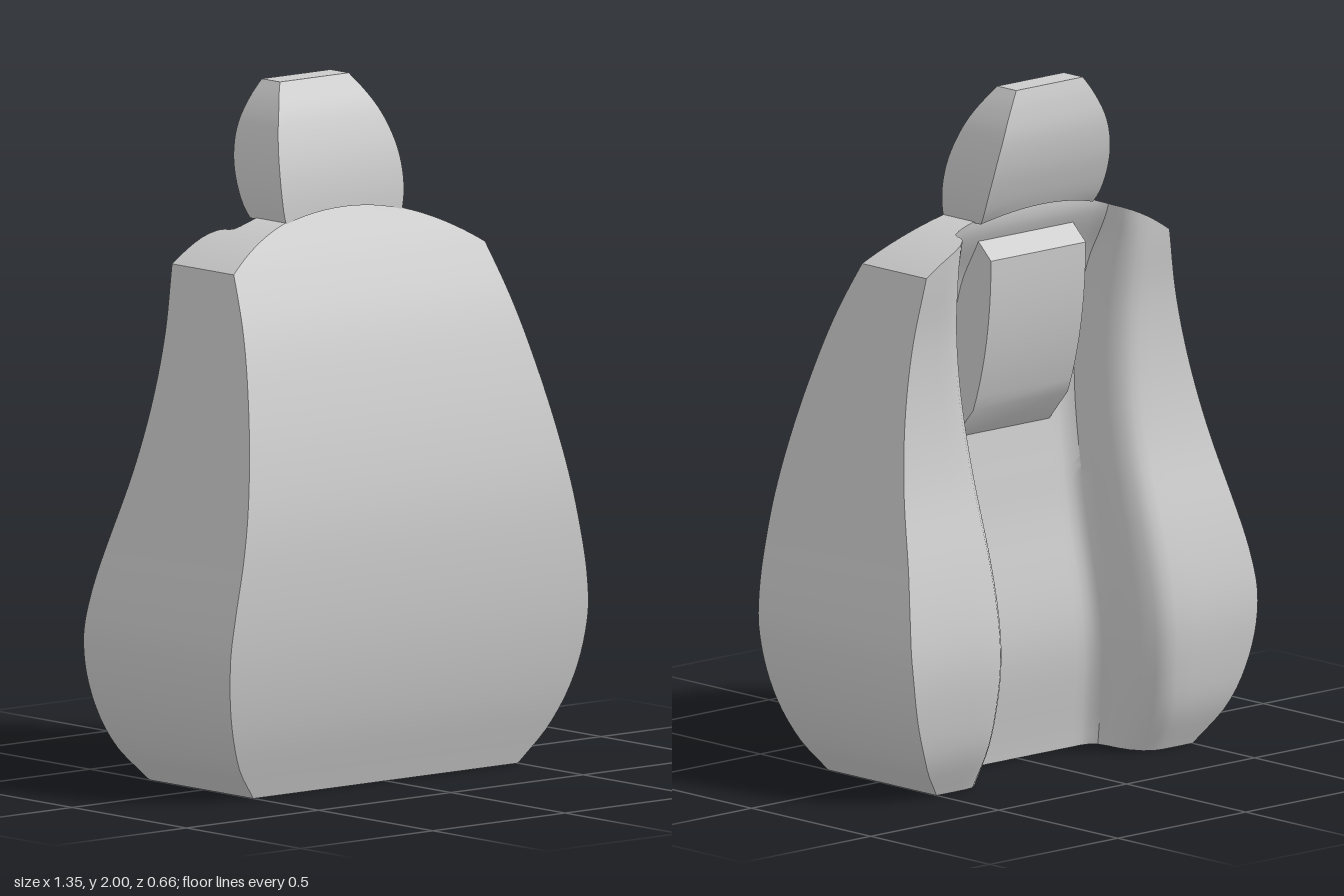
import * as THREE from 'three';
import { toCreasedNormals } from 'three/addons/utils/BufferGeometryUtils.js';

const material = new THREE.MeshStandardMaterial({ color: 0xcccccc });

// Smooth curve through [y, value] points, read as value(y)
function curve(pts) {
  const slope = (i) => {
    const a = pts[Math.max(i - 1, 0)], b = pts[Math.min(i + 1, pts.length - 1)];
    return (b[1] - a[1]) / (b[0] - a[0]);
  };
  return (y) => {
    let i = 0;
    while (i < pts.length - 2 && y > pts[i + 1][0]) i++;
    const [y0, v0] = pts[i], [y1, v1] = pts[i + 1], h = y1 - y0;
    const t = THREE.MathUtils.clamp((y - y0) / h, 0, 1), t2 = t * t, t3 = t2 * t;
    return v0 * (2 * t3 - 3 * t2 + 1) + v1 * (3 * t2 - 2 * t3)
      + h * (slope(i) * (t3 - 2 * t2 + t) + slope(i + 1) * (t3 - t2));
  };
}

// Closed solid from rows of columns {x, y, f, b}: f = front z, b = back z
function solid(name, rows, crease) {
  const pos = [];
  const F = (p) => [p.x, p.y, p.f], B = (p) => [p.x, p.y, p.b];
  const quad = (a, b, c, d) => pos.push(...a, ...b, ...c, ...a, ...c, ...d);
  const n = rows[0].length - 1, m = rows.length - 1;
  for (let j = 0; j < m; j++) {
    const r = rows[j], s = rows[j + 1];
    for (let i = 0; i < n; i++) {
      quad(F(r[i]), F(r[i + 1]), F(s[i + 1]), F(s[i]));
      quad(B(r[i + 1]), B(r[i]), B(s[i]), B(s[i + 1]));
    }
    quad(F(r[n]), B(r[n]), B(s[n]), F(s[n]));
    quad(B(r[0]), F(r[0]), F(s[0]), B(s[0]));
  }
  const lo = rows[0], hi = rows[m];
  for (let i = 0; i < n; i++) {
    quad(F(hi[i]), F(hi[i + 1]), B(hi[i + 1]), B(hi[i]));
    quad(B(lo[i]), B(lo[i + 1]), F(lo[i + 1]), F(lo[i]));
  }
  const geo = new THREE.BufferGeometry();
  geo.setAttribute('position', new THREE.Float32BufferAttribute(pos, 3));
  const mesh = new THREE.Mesh(toCreasedNormals(geo, crease), material);
  mesh.name = name;
  return mesh;
}

// Rounded shoulder line of the backrest
const SHOULDER = 1.5, SHOULDER_X = 0.475, RISE = 0.145;
const radius = (SHOULDER_X ** 2 + RISE ** 2) / (2 * RISE);
const arc = (x) => SHOULDER + RISE - radius + Math.sqrt(radius ** 2 - Math.min(Math.abs(x), SHOULDER_X) ** 2);

function backrest() {
  const width = curve([[0, 0.5], [0.1, 0.583], [0.25, 0.648], [0.42, 0.675], [0.55, 0.664],
    [0.7, 0.635], [1, 0.575], [1.5, 0.475]]);
  const front = curve([[0, 0.215], [0.2, 0.278], [0.4, 0.315], [0.6, 0.328], [0.8, 0.32], [1, 0.285],
    [1.2, 0.23], [1.35, 0.175], [1.5, 0.1], [1.61, 0.035], [1.66, 0.005]]);
  const back = curve([[0, -0.24], [0.12, -0.295], [0.25, -0.32], [0.38, -0.328], [0.5, -0.315],
    [0.65, -0.28], [0.9, -0.205], [1.1, -0.167], [1.3, -0.155], [1.5, -0.17], [1.66, -0.18]]);
  // floor and half width of the channel between the rear bolsters
  const floor = curve([[0, -0.04], [0.35, -0.08], [0.75, -0.01], [1.15, 0.04], [1.4, 0.0], [1.58, -0.09], [1.66, -0.095]]);
  const wall = curve([[0, 0.3], [0.4, 0.27], [0.9, 0.27], [1.5, 0.305]]);
  // bolster edge: [offset from wall, share of channel depth]
  const edge = [[-0.05, 1], [-0.025, 0.97], [-0.006, 0.88], [0, 0.7], [0.002, 0.5],
    [0.01, 0.3], [0.03, 0.12], [0.055, 0.03], [0.085, 0]];

  const row = (y, s) => {
    const w = wall(y), W = width(y), half = [];
    for (let i = 1; i <= 6; i++) half.push([(w - 0.05) * i / 7, 1]);
    edge.forEach(([d, k]) => half.push([w + d, k]));
    for (let i = 1; i <= 4; i++) half.push([THREE.MathUtils.lerp(w + 0.085, W, i / 4), 0]);
    const all = [...half.map(([x, k]) => [-x, k]).reverse(), [0, 1], ...half];
    return all.map(([x, k]) => {
      const yy = y + s * (arc(x) - SHOULDER);
      return { x, y: yy, f: front(yy), b: THREE.MathUtils.lerp(back(yy), floor(yy), k) };
    });
  };
  const rows = [];
  for (let j = 0; j <= 48; j++) rows.push(row(SHOULDER * j / 48, 0));
  for (let j = 1; j <= 6; j++) rows.push(row(SHOULDER, j / 6));
  return solid('backrest', rows, 0.6);
}

function headrest() {
  const width = curve([[1.6, 0.218], [1.65, 0.227], [1.72, 0.23], [1.8, 0.221], [1.88, 0.197], [1.95, 0.162], [2, 0.13]]);
  const front = curve([[1.6, 0.034], [1.68, 0.029], [1.76, 0.015], [1.84, -0.01], [1.92, -0.045], [2, -0.097]]);
  const back = curve([[1.6, -0.115], [1.64, -0.142], [1.7, -0.167], [1.78, -0.19], [1.87, -0.2], [1.95, -0.19], [2, -0.177]]);
  const rows = [];
  for (let j = 0; j <= 20; j++) {
    const t = j / 20, row = [];
    for (let i = -6; i <= 6; i++) {
      const x = width(THREE.MathUtils.lerp(1.608, 2, t)) * i / 6;
      const y = THREE.MathUtils.lerp(arc(x) - 0.004, 2, t);
      row.push({ x, y, f: front(y), b: back(y) });
    }
    rows.push(row);
  }
  return solid('headrest', rows, 0.6);
}

// Raised panel in the rear channel
function rearPanel() {
  const shape = new THREE.Shape();
  shape.moveTo(0.1, 0.95);
  shape.lineTo(0.0, 1.57);
  shape.lineTo(-0.06, 1.565);
  shape.lineTo(-0.13, 1.5);
  shape.quadraticCurveTo(-0.13, 1.25, -0.055, 1.05);
  shape.lineTo(0.03, 0.95);
  const geo = new THREE.ExtrudeGeometry(shape, { depth: 0.37, bevelEnabled: false, curveSegments: 10 });
  geo.rotateY(-Math.PI / 2).translate(0.185, 0, 0);
  const mesh = new THREE.Mesh(toCreasedNormals(geo, 0.4), material);
  mesh.name = 'rearPanel';
  return mesh;
}

export function createModel() {
  const group = new THREE.Group();
  group.name = 'seatBack';
  group.add(backrest(), headrest(), rearPanel());
  return group;
}
